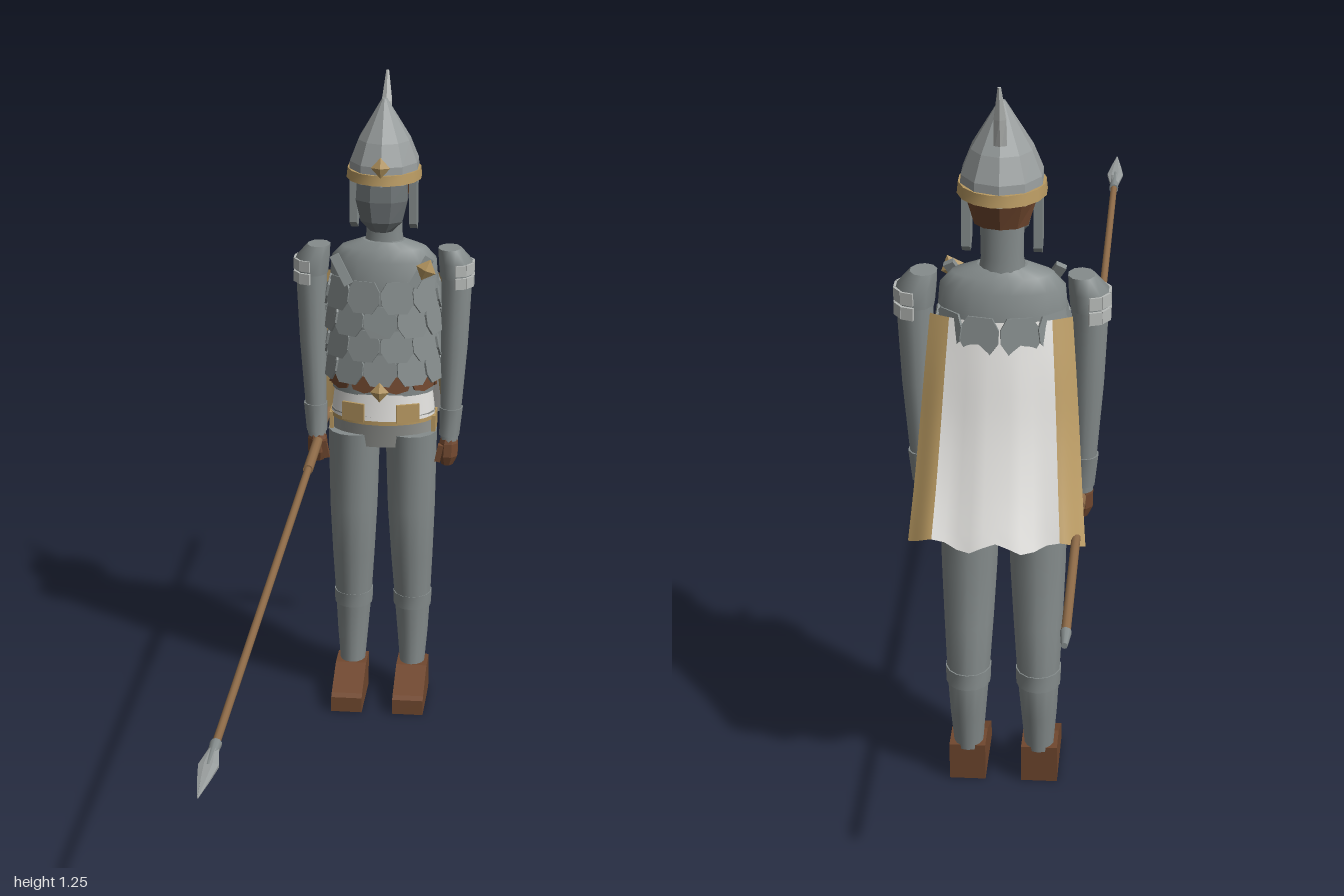
import * as THREE from 'three';

const mat = (name, color, opts = {}) => Object.assign(new THREE.MeshStandardMaterial({ color, ...opts }), { name });
const CZ = -0.52; // depth of the figure's axis

export function createModel() {
  const steel = mat('steel', 0x858c8c);
  const facet = mat('helmet steel', 0x999e9e, { flatShading: true });
  const dark = mat('dark mask steel', 0x6a7072, { flatShading: true });
  const pale = mat('pale steel', 0xb9bcba, { flatShading: true });
  const belt = mat('belt grey', 0x989a96);
  const white = mat('white cloth', 0xe2e1de, { side: THREE.DoubleSide });
  const gold = mat('gold trim', 0xb99a62, { side: THREE.DoubleSide });
  const leather = mat('brown leather', 0x71482f, { flatShading: true, side: THREE.DoubleSide });
  const wood = mat('spear wood', 0x8e6b48);

  const root = new THREE.Group();
  root.name = 'spearman';
  const add = (name, geo, material, pos = [0, 0, 0], rot = [0, 0, 0], parent = root) => {
    const m = new THREE.Mesh(geo, material);
    m.name = name;
    m.position.set(...pos);
    m.rotation.set(...rot);
    parent.add(m);
    return m;
  };

  // Closed body through elliptical sections [y, cx, cz, rx, rz], listed bottom to top
  const loft = (sections, n = 14) => {
    const p = [], idx = [];
    const ring = ([y, cx, cz, rx, rz]) => {
      for (let j = 0; j < n; j++) {
        const a = ((j + 0.5) / n) * Math.PI * 2;
        p.push(cx + Math.cos(a) * rx, y, cz + Math.sin(a) * rz);
      }
    };
    sections.forEach(ring);
    for (let i = 0; i < sections.length - 1; i++)
      for (let j = 0; j < n; j++) {
        const a = i * n + j, b = i * n + ((j + 1) % n);
        idx.push(a, a + n, b, b, a + n, b + n);
      }
    [sections[0], sections.at(-1)].forEach((s, top) => {
      const base = p.length / 3;
      ring(s);
      p.push(s[1], s[0], s[2]);
      for (let j = 0; j < n; j++) {
        const a = base + j, b = base + ((j + 1) % n);
        if (top) idx.push(base + n, b, a); else idx.push(base + n, a, b);
      }
    });
    const g = new THREE.BufferGeometry();
    g.setAttribute('position', new THREE.Float32BufferAttribute(p, 3));
    g.setIndex(idx);
    g.computeVertexNormals();
    return g;
  };
  const plate = (pts, depth = 0.004) =>
    new THREE.ExtrudeGeometry(new THREE.Shape(pts.map(q => new THREE.Vector2(...q))), { depth, bevelEnabled: false });
  const diamond = (name, x, y, z, r, turn = 0) =>
    add(name, new THREE.OctahedronGeometry(r).scale(0.9, 1, 0.4), gold, [x, y, z], [0, 0, turn]);

  // Torso and hips
  add('torso', loft([[0.64, 0, CZ, 0.098, 0.062], [0.74, 0, CZ, 0.1, 0.064], [0.85, 0, CZ, 0.104, 0.062],
    [0.9, 0, CZ, 0.1, 0.05], [0.922, 0, CZ, 0.08, 0.04], [0.935, 0, CZ, 0.04, 0.03]], 20), steel);
  add('shirtSkirt', loft([[0.585, 0, CZ, 0.101, 0.07], [0.66, 0, CZ, 0.092, 0.06]], 20), white);
  add('hips', loft([[0.535, 0, CZ, 0.098, 0.056], [0.6, 0, CZ, 0.1, 0.068]], 20), belt);
  add('skirtHem', new THREE.CylinderGeometry(0.102, 0.102, 0.008, 20, 1, true).scale(1, 1, 0.7), gold, [0, 0.589, CZ]);
  for (const s of [-1, 1]) {
    add('skirtPatch', new THREE.BoxGeometry(0.045, 0.036, 0.005), gold, [s * 0.052, 0.608, CZ + 0.06], [0, s * 0.35, 0]);
    add('hipTrim', new THREE.BoxGeometry(0.008, 0.05, 0.05), gold, [s * 0.098, 0.567, CZ]);
  }

  // Staggered armour scales, lower edges tilted outward
  const scaleGeo = plate([[-0.02, 0.03], [-0.031, 0.012], [-0.031, -0.01], [-0.018, -0.03],
    [0.018, -0.03], [0.031, -0.01], [0.031, 0.012], [0.02, 0.03]]);
  const around = (name, geo, material, count, y, rx, rz, shift, tilt) => {
    for (let i = 0; i < count; i++) {
      const a = ((i + shift) / count) * Math.PI * 2;
      const m = add(name, geo, material, [Math.sin(a) * rx, y, CZ + Math.cos(a) * rz],
        [tilt, Math.atan2(Math.sin(a) / rx, Math.cos(a) / rz), 0]);
      m.rotation.order = 'YXZ';
    }
  };
  for (let r = 0; r < 4; r++)
    around('armourScale', scaleGeo, steel, 10, 0.838 - r * 0.048, 0.102, 0.067, r % 2 ? 0 : 0.5, -0.18);
  around('leatherFringe', plate([[-0.032, 0.018], [-0.022, -0.008], [0, -0.014], [0.022, -0.008], [0.032, 0.018]]),
    leather, 10, 0.662, 0.097, 0.067, 0.5, -0.1);
  diamond('beltDiamond', 0, 0.656, CZ + 0.082, 0.02);

  // Neck, face mask and helmet
  add('neck', loft([[0.9, 0, -0.525, 0.042, 0.03], [0.95, 0, -0.525, 0.034, 0.027], [1.06, 0, -0.525, 0.036, 0.03]]), steel);
  add('faceMask', loft([[0.965, 0, -0.475, 0.022, 0.02], [0.985, 0, -0.475, 0.042, 0.03],
    [1.025, 0, -0.476, 0.052, 0.034], [1.06, 0, -0.48, 0.05, 0.032]], 8), dark);
  add('helmetLining', loft([[1.01, 0, -0.533, 0.044, 0.036], [1.06, 0, -0.522, 0.06, 0.066]], 10), leather);
  add('helmet', loft([[1.055, 0, CZ, 0.068, 0.073], [1.09, 0, CZ, 0.066, 0.07], [1.13, 0, CZ, 0.05, 0.052],
    [1.165, 0, CZ, 0.029, 0.03], [1.205, 0, CZ, 0.005, 0.005]], 10), facet);
  add('helmetBand', loft([[1.057, 0, CZ, 0.071, 0.077], [1.076, 0, CZ, 0.069, 0.074]], 16), gold);
  diamond('helmetDiamond', 0, 1.092, CZ + 0.076, 0.02);
  add('helmetSpike', loft([[1.13, 0, -0.553, 0.012, 0.007], [1.19, 0, -0.563, 0.011, 0.009],
    [1.245, 0, -0.576, 0.003, 0.003]], 6), pale);

  // Cape: curved sheet with gold borders
  const drop = new THREE.CatmullRomCurve3([[0.86, -0.582], [0.78, -0.606], [0.69, -0.632], [0.6, -0.667], [0.525, -0.702]]
    .map(([y, z]) => new THREE.Vector3(0, y, z)));
  const cape = (name, u0, u1, material) => {
    const g = new THREE.PlaneGeometry(1, 1, 10, 12), p = g.attributes.position;
    for (let i = 0; i < p.count; i++) {
      const u = u0 + (p.getX(i) + 0.5) * (u1 - u0), t = 0.5 - p.getY(i);
      const q = drop.getPoint(t);
      p.setXYZ(i, u * (0.112 + 0.028 * t), q.y + 0.008 * t * Math.cos(u * 9),
        q.z + 0.032 * u * u + 0.004 * t * Math.cos(u * 12));
    }
    g.computeVertexNormals();
    add(name, g, material);
  };
  cape('cape', -0.72, 0.72, white);
  cape('capeBorderRight', -1, -0.72, gold);
  cape('capeBorderLeft', 0.72, 1, gold);

  // Paired parts
  for (const s of [-1, 1]) {
    const side = s > 0 ? 'left' : 'right';
    const mirror = list => list.map(([y, x, z, rx, rz]) => [y, s * x, z, rx, rz]);
    add(side + 'CheekGuard', plate([[-0.022, 0.05], [-0.022, -0.035], [0.008, -0.052], [0.022, -0.04], [0.022, 0.05]], 0.014),
      steel, [s * 0.056 - 0.007, 1.008, CZ + 0.005], [0, Math.PI / 2, 0]);
    add(side + 'Arm', loft(mirror([[0.54, 0.128, -0.512, 0.017, 0.019], [0.62, 0.131, -0.517, 0.021, 0.022],
      [0.73, 0.135, -0.52, 0.026, 0.027], [0.85, 0.138, -0.522, 0.029, 0.031], [0.9, 0.135, -0.522, 0.026, 0.028]])), steel);
    add(side + 'Bracer', loft(mirror([[0.55, 0.128, -0.512, 0.02, 0.021], [0.605, 0.131, -0.516, 0.023, 0.024]]), 10), steel);
    add(side + 'Pauldron', loft(mirror([[0.865, 0.137, -0.522, 0.031, 0.035], [0.895, 0.136, -0.522, 0.033, 0.038],
      [0.921, 0.124, -0.522, 0.022, 0.026]]), 10), steel);
    // Pale banded plates around the outer shoulder
    for (const y of [0.86, 0.885])
      for (let k = -2; k <= 2; k++) {
        const a = k * 0.62;
        add(side + 'ShoulderPlate', new THREE.BoxGeometry(0.006, 0.021, 0.021), pale,
          [s * (0.137 + Math.cos(a) * 0.031), y, -0.522 + Math.sin(a) * 0.036], [0, -s * a, 0]);
      }
    add(side + 'ShoulderStrap', new THREE.BoxGeometry(0.018, 0.062, 0.01), steel,
      [s * 0.075, 0.888, CZ + 0.055], [-0.3, 0, s * -0.5]);
    add(side + 'Hand', loft(mirror([[0.492, 0.125, -0.508, 0.012, 0.015], [0.51, 0.126, -0.508, 0.02, 0.021],
      [0.535, 0.127, -0.51, 0.019, 0.02], [0.552, 0.128, -0.512, 0.014, 0.016]]), 8), leather);
    add(side + 'Thumb', new THREE.BoxGeometry(0.011, 0.034, 0.012), leather, [s * 0.11, 0.517, -0.495], [0, 0, s * -0.2]);
    add(side + 'Leg', loft(mirror([[0.06, 0.059, -0.52, 0.024, 0.028], [0.13, 0.059, -0.525, 0.03, 0.035],
      [0.2, 0.058, -0.528, 0.035, 0.042], [0.3, 0.057, -0.518, 0.041, 0.045], [0.4, 0.056, -0.511, 0.046, 0.048],
      [0.56, 0.055, -0.509, 0.05, 0.053]])), steel);
    add(side + 'ShinBand', loft(mirror([[0.188, 0.058, -0.528, 0.037, 0.043], [0.216, 0.058, -0.527, 0.038, 0.044]])), steel);
    // Boot: side outline pulled across its width
    add(side + 'Boot', plate([[0.405, 0], [0.54, 0], [0.545, 0.068], [0.49, 0.068], [0.415, 0.036], [0.405, 0.03]], 0.06),
      leather, [s * 0.06 - 0.03, 0, 0], [0, Math.PI / 2, 0]);
  }
  diamond('strapBuckle', 0.085, 0.897, CZ + 0.068, 0.022, -0.4);

  // Spear lying level in the right hand
  const spear = new THREE.Group();
  spear.name = 'spear';
  spear.position.set(-0.125, 0.532, 0);
  spear.rotation.x = Math.PI / 2;
  root.add(spear);
  const rod = (name, r0, r1, from, to, material) =>
    add(name, new THREE.CylinderGeometry(r1, r0, to - from, 10), material, [0, (from + to) / 2, 0], [0, 0, 0], spear);
  rod('shaft', 0.0075, 0.0065, -0.97, 0.84, wood);
  rod('grip', 0.0095, 0.0095, -0.56, -0.34, wood);
  rod('buttCap', 0.005, 0.009, -1, -0.96, steel);
  rod('socket', 0.0095, 0.006, 0.82, 0.9, steel);
  add('blade', loft([[0.84, 0, 0, 0.008, 0.008], [0.895, 0, 0, 0.017, 0.006], [0.94, 0, 0, 0.011, 0.004],
    [1, 0, 0, 0.001, 0.001]], 8), facet, [0, 0, 0], [0, 0, 0], spear);

  return root;
}
